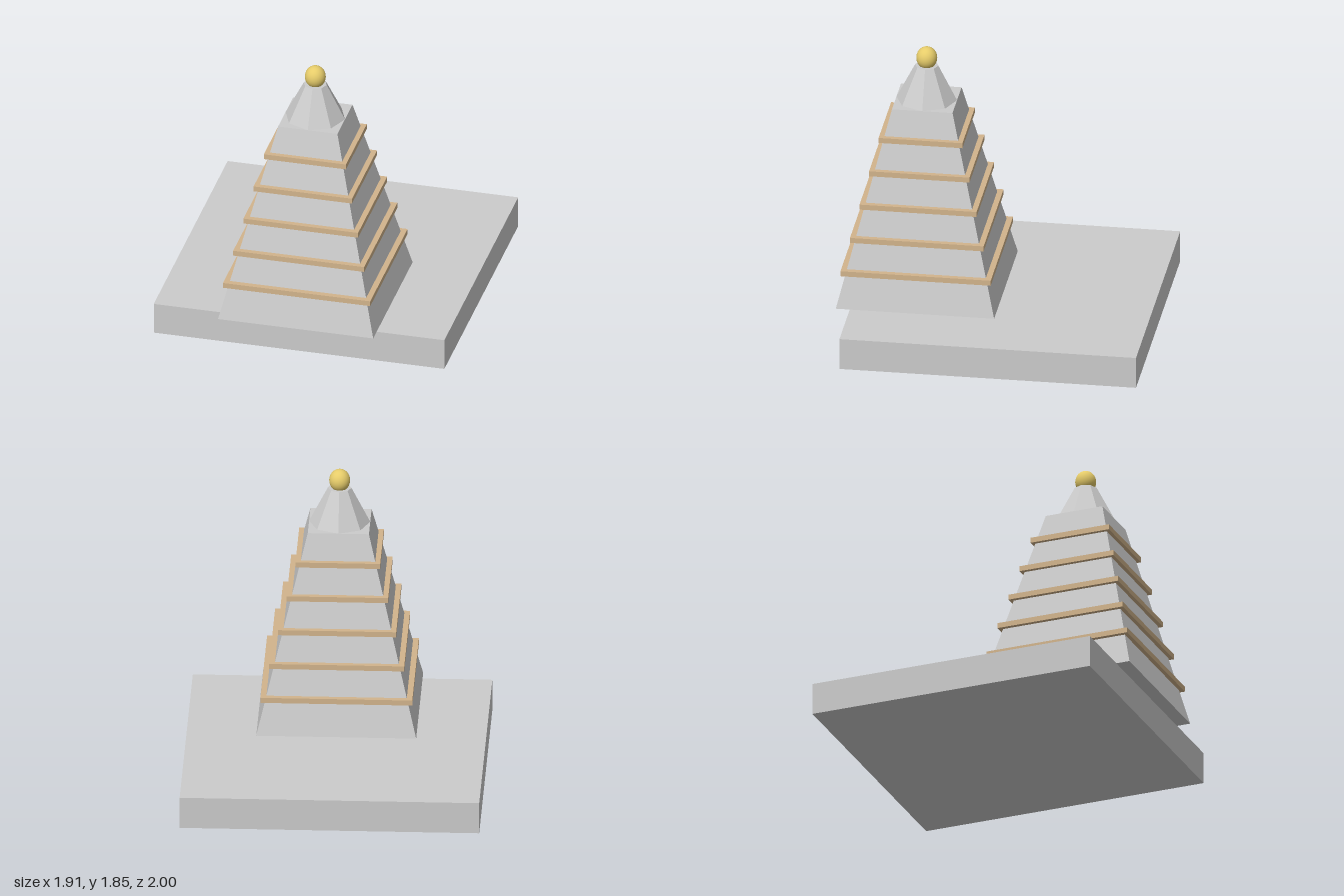
import * as THREE from 'three';

const grey = new THREE.MeshStandardMaterial({ color: 0xcccccc, flatShading: true });
const tan = new THREE.MeshStandardMaterial({ color: 0xd2b48c });
const gold = new THREE.MeshStandardMaterial({ color: 0xe6cc6a });

const BASE_TOP = 0.21, TOWER_TOP = 1.49, SPIRE_TOP = 1.725;

function add(parent, name, geometry, material, y, z = 0) {
  const mesh = new THREE.Mesh(geometry, material);
  mesh.name = name;
  mesh.position.set(0, y, z);
  parent.add(mesh);
  return mesh;
}

// Solid standing between two heights: a tapered prism with a corner radius at each end
function taper(topRadius, bottomRadius, y0, y1, sides) {
  return new THREE.CylinderGeometry(topRadius, bottomRadius, y1 - y0, sides);
}

export function createModel() {
  const model = new THREE.Group();
  model.name = 'templeTower';

  // Ground slab
  add(model, 'baseSlab', new THREE.BoxGeometry(1.91, BASE_TOP, 1.91), grey, BASE_TOP / 2, -0.045);

  // Tower stands at the front, overhanging the slab edge
  const tower = new THREE.Group();
  tower.name = 'tower';
  tower.position.z = 0.49;
  model.add(tower);

  // Square tapering body
  const body = taper(0.195 * Math.SQRT2, 0.51 * Math.SQRT2, BASE_TOP, TOWER_TOP, 4);
  body.rotateY(Math.PI / 4);
  add(tower, 'towerBody', body, grey, (BASE_TOP + TOWER_TOP) / 2);

  // Horizontal bands, shrinking with the taper
  for (let i = 0; i < 5; i++) {
    const width = 2 * (0.484 - 0.0535 * i);
    add(tower, `band${i + 1}`, new THREE.BoxGeometry(width, 0.035, width), tan, 0.446 + 0.2135 * i);
  }

  // Eight-sided spire
  add(tower, 'spire', taper(0.075, 0.195, TOWER_TOP, SPIRE_TOP, 8), grey, (TOWER_TOP + SPIRE_TOP) / 2);

  // Slightly stretched finial ball
  const finial = add(tower, 'finial', new THREE.SphereGeometry(0.067, 32, 20), gold, 1.777);
  finial.scale.y = 1.1;

  return model;
}
